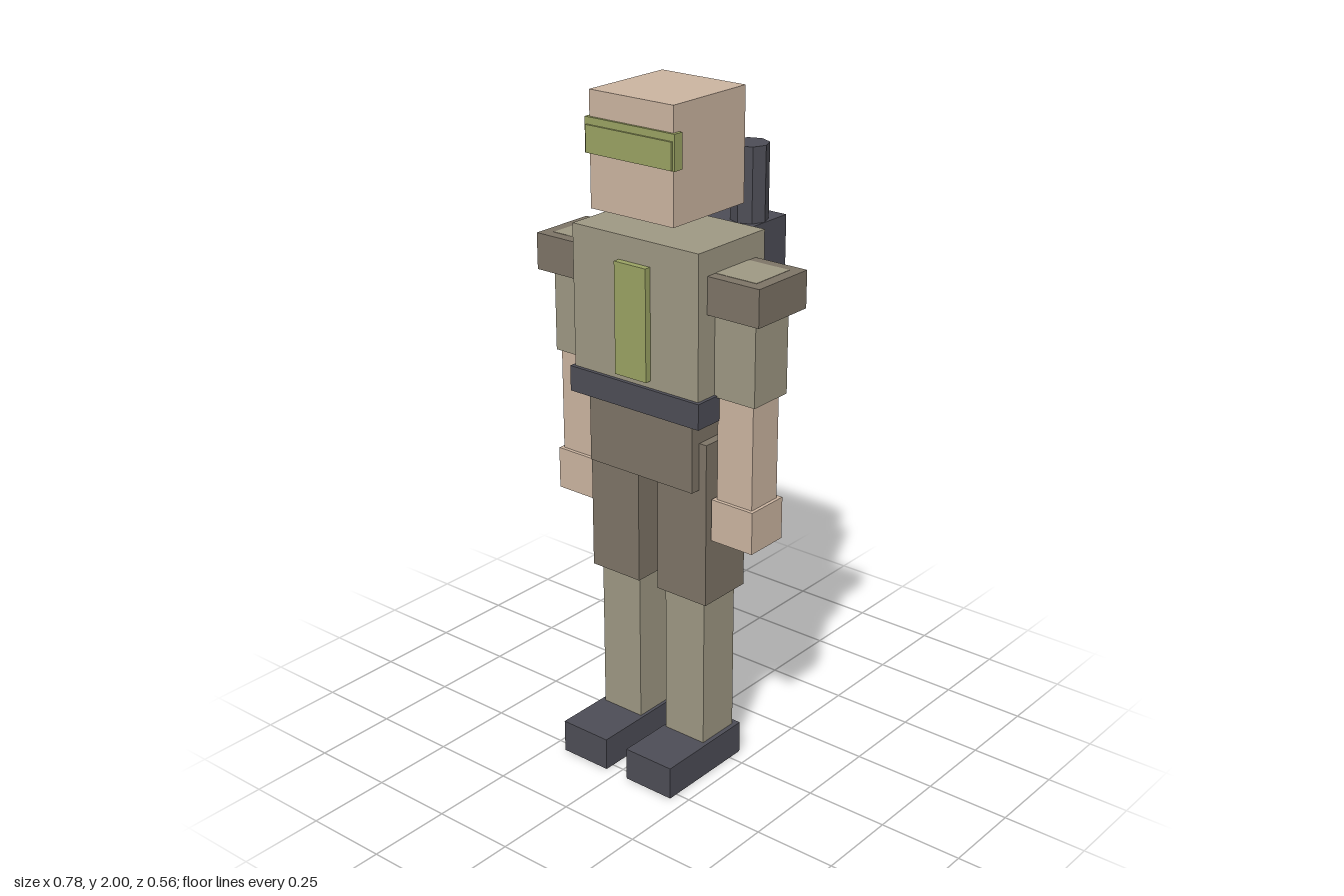
import * as THREE from 'three';

const mat = (name, color) => {
  const m = new THREE.MeshStandardMaterial({ color });
  m.name = name;
  return m;
};

export function createModel() {
  const skin = mat('skin', 0xcbb4a0);
  const shirt = mat('khaki', 0x9e9883);
  const cloth = mat('brown cloth', 0x7d7466);
  const dark = mat('dark gear', 0x4d4d56);
  const green = mat('green', 0x9aa263);

  const model = new THREE.Group();
  model.name = 'soldier';

  // Box given by its limits along each axis
  const box = (name, material, [x0, x1], [y0, y1], [z0, z1], parent = model) => {
    const mesh = new THREE.Mesh(new THREE.BoxGeometry(x1 - x0, y1 - y0, z1 - z0), material);
    mesh.position.set((x0 + x1) / 2, (y0 + y1) / 2, (z0 + z1) / 2);
    mesh.name = name;
    parent.add(mesh);
    return mesh;
  };

  // Head floats just above the torso
  box('head', skin, [-0.143, 0.143], [1.677, 2], [-0.112, 0.188]);
  box('visor', green, [-0.153, 0.153], [1.83, 1.928], [0.164, 0.196]);
  box('visorLens', green, [-0.146, 0.146], [1.832, 1.908], [0.196, 0.202]);

  // Trunk
  box('torso', shirt, [-0.22, 0.22], [1.205, 1.62], [-0.105, 0.179]);
  box('chestPlate', green, [-0.055, 0.055], [1.226, 1.55], [0.175, 0.199]);
  box('belt', dark, [-0.23, 0.23], [1.13, 1.205], [-0.116, 0.19]);
  box('hips', cloth, [-0.185, 0.185], [0.92, 1.13], [-0.08, 0.16]);

  // Backpack
  box('backpack', dark, [-0.163, 0.163], [1.217, 1.61], [-0.28, -0.105]);

  for (const [side, s] of [['left', 1], ['right', -1]]) {
    const span = (a, b) => (s > 0 ? [a, b] : [-b, -a]);

    // Tank on the backpack
    const tank = new THREE.Mesh(
      new THREE.CylinderGeometry(0.054, 0.054, 0.225, 8).toNonIndexed(), dark);
    tank.geometry.computeVertexNormals();
    tank.position.set(s * 0.108, 1.7125, -0.183);
    tank.name = side + 'Tank';
    model.add(tank);

    // Arm
    const arm = new THREE.Group();
    arm.name = side + 'Arm';
    box('shoulderPad', cloth, span(0.18, 0.39), [1.443, 1.55], [-0.067, 0.142], arm);
    box('upperArm', shirt, span(0.215, 0.356), [1.2, 1.551], [-0.035, 0.109], arm);
    box('forearm', skin, span(0.225, 0.345), [0.89, 1.2], [-0.014, 0.099], arm);
    box('hand', skin, span(0.214, 0.355), [0.767, 0.893], [-0.028, 0.11], arm);

    // Leg
    const leg = new THREE.Group();
    leg.name = side + 'Leg';
    box('thigh', cloth, span(0.035, 0.21), [0.567, 1.06], [-0.047, 0.129], leg);
    box('shin', shirt, span(0.049, 0.19), [0.098, 0.567], [-0.028, 0.11], leg);
    box('boot', dark, span(0.039, 0.204), [0, 0.1], [-0.047, 0.279], leg);
    model.add(arm, leg);
  }

  return model;
}
